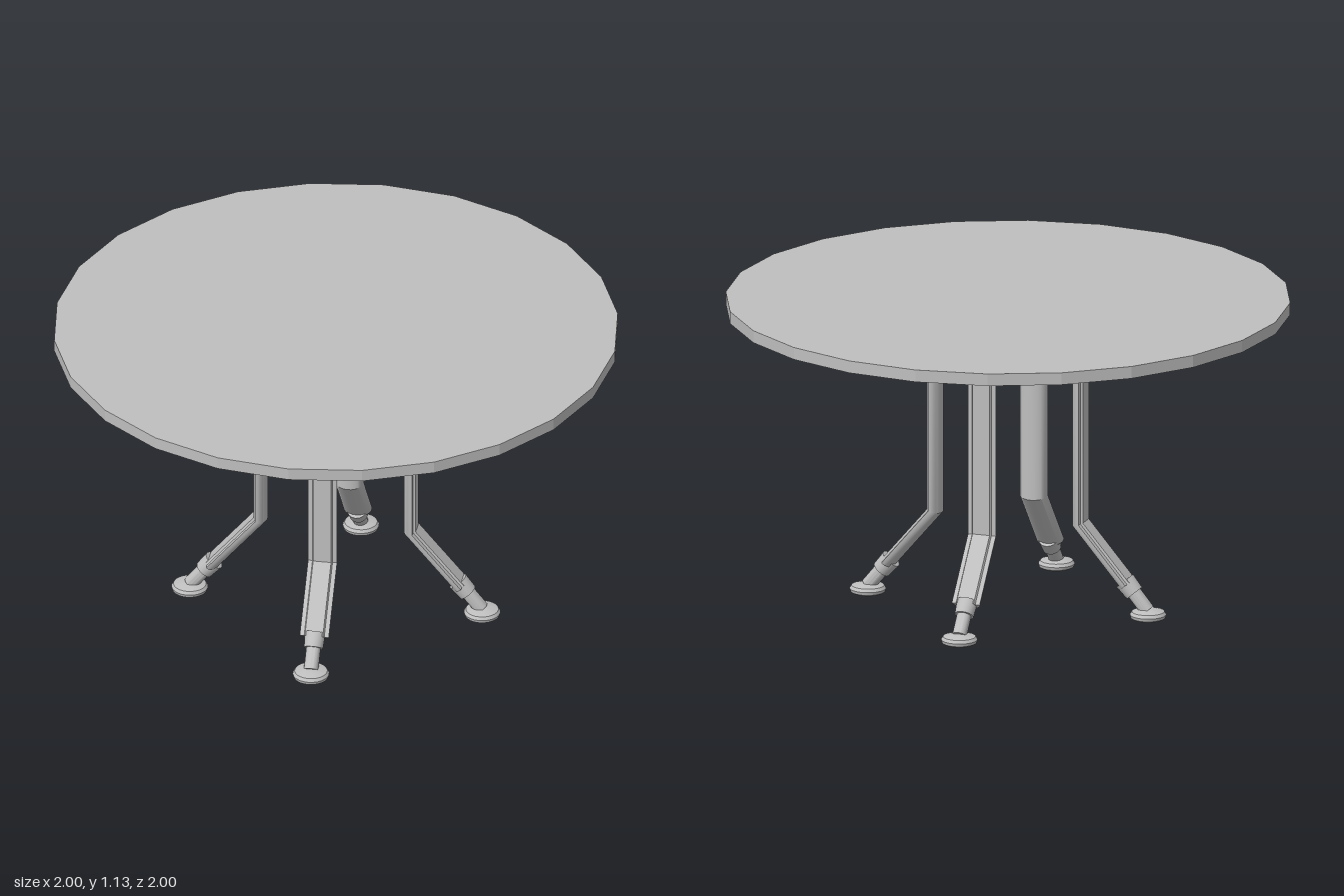
import * as THREE from 'three';
import { toCreasedNormals } from 'three/addons/utils/BufferGeometryUtils.js';

const grey = new THREE.MeshStandardMaterial({ color: 0xbfbfbf, side: THREE.DoubleSide });
grey.name = 'satin grey';

function part(name, geometry, parent, crease = 0.6) {
  const mesh = new THREE.Mesh(toCreasedNormals(geometry, crease), grey);
  mesh.name = name;
  parent.add(mesh);
  return mesh;
}

// Leg section as [depth, width]: stepped flat outer face, rounded inner face
function legSection() {
  const pts = [[0.012, 0.052], [0.014, 0.036], [0.022, 0.032], [0.022, -0.032], [0.014, -0.036], [0.012, -0.052]];
  for (let i = 1; i < 12; i++) {
    const a = (i / 12) * Math.PI;
    pts.push([0.012 - 0.036 * Math.sin(a), -0.052 * Math.cos(a)]);
  }
  return pts;
}

// Sweep the section through stations [x, y, depth axis x, depth axis y]
function sweep(section, stations) {
  const pos = [], index = [], n = section.length;
  for (const [x, y, ax, ay] of stations) {
    for (const [d, w] of section) pos.push(x + d * ax, y + d * ay, w);
  }
  for (let s = 0; s < stations.length - 1; s++) {
    for (let i = 0; i < n; i++) {
      const a = s * n + i, b = s * n + (i + 1) % n;
      index.push(a, b, a + n, b, b + n, a + n);
    }
  }
  const last = (stations.length - 1) * n;
  const caps = THREE.ShapeUtils.triangulateShape(section.map(([d, w]) => new THREE.Vector2(d, w)), []);
  for (const [a, b, c] of caps) index.push(a, b, c, last + a, last + c, last + b);
  const g = new THREE.BufferGeometry();
  g.setAttribute('position', new THREE.Float32BufferAttribute(pos, 3));
  g.setIndex(index);
  return g;
}

// Round rod between two points in the leg's own plane
function rod(name, from, to, r0, r1, parent) {
  const a = new THREE.Vector3(...from, 0), b = new THREE.Vector3(...to, 0);
  const dir = b.clone().sub(a);
  const mesh = part(name, new THREE.CylinderGeometry(r1, r0, dir.length(), 16), parent);
  mesh.position.copy(a).lerp(b, 0.5);
  mesh.quaternion.setFromUnitVectors(new THREE.Vector3(0, 1, 0), dir.normalize());
}

// One leg, splayed towards +x
function makeLeg() {
  const leg = new THREE.Group();
  leg.name = 'leg';

  // Bent post, mitred at the knee
  part('legPost', sweep(legSection(), [
    [0.269, 1.09, 1, 0],
    [0.269, 0.33, 1, 0.366],
    [0.447, 0.12, 0.763, 0.646],
  ]), leg);

  // Ankle collar and neck
  rod('ankleCollar', [0.437, 0.132], [0.473, 0.09], 0.037, 0.034, leg);
  rod('ankleNeck', [0.465, 0.1], [0.522, 0.03], 0.026, 0.026, leg);

  // Foot pad
  const profile = [[0, 0], [0.052, 0], [0.062, 0.006], [0.065, 0.017], [0.058, 0.028], [0.03, 0.036], [0, 0.038]]
    .map(([x, y]) => new THREE.Vector2(x, y));
  part('footPad', new THREE.LatheGeometry(profile, 24), leg).position.set(0.524, 0, 0);

  // Mounting plate under the top
  part('mountingPlate', new THREE.BoxGeometry(0.25, 0.046, 0.1), leg).position.set(0.32, 1.107, 0);

  // Triangular gusset
  const tri = new THREE.Shape([[0.28, 1.09], [0.28, 0.975], [0.3, 0.975], [0.415, 1.09]]
    .map(([x, y]) => new THREE.Vector2(x, y)));
  part('gusset', new THREE.ExtrudeGeometry(tri, { depth: 0.018, bevelEnabled: false }), leg).position.z = -0.009;
  return leg;
}

export function createModel() {
  const table = new THREE.Group();
  table.name = 'roundTable';

  // Faceted top: a disc with a turned-down rim
  part('tableTop', new THREE.CircleGeometry(1, 24).rotateX(-Math.PI / 2), table).position.y = 1.133;
  part('tableRim', new THREE.CylinderGeometry(1, 1, 0.044, 24, 1, true), table, 0.1).position.y = 1.111;

  // Four legs on the diagonals
  for (let i = 0; i < 4; i++) {
    const leg = makeLeg();
    leg.rotation.y = Math.PI / 4 + (i * Math.PI) / 2;
    table.add(leg);
  }
  return table;
}
